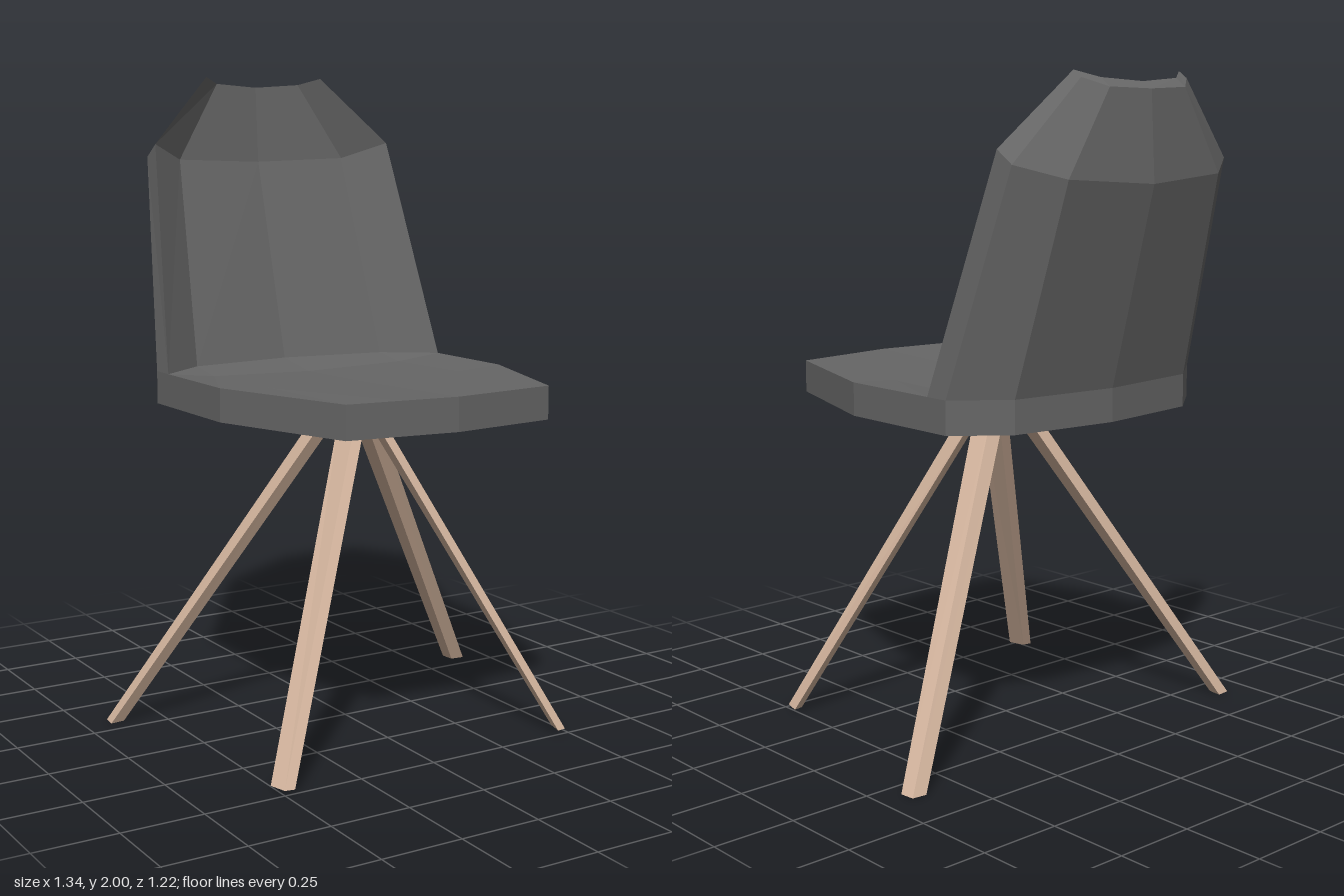
import * as THREE from 'three';

const shellMaterial = new THREE.MeshStandardMaterial({ color: 0x666666 });
shellMaterial.name = 'charcoal';
const woodMaterial = new THREE.MeshStandardMaterial({ color: 0xd4b59e });
woodMaterial.name = 'pale wood';

// Collects faceted quads; collapsed triangles are skipped
function facets() {
  const positions = [];
  const same = (a, b) => a.every((v, i) => v === b[i]);
  const tri = (a, b, c) => {
    if (!same(a, b) && !same(b, c) && !same(a, c)) positions.push(...a, ...b, ...c);
  };
  return {
    quad(a, b, c, d, flip = false) {
      if (flip) [b, d] = [d, b];
      tri(a, b, c);
      tri(a, c, d);
    },
    mesh(name, material) {
      const geometry = new THREE.BufferGeometry();
      geometry.setAttribute('position', new THREE.Float32BufferAttribute(positions, 3));
      geometry.computeVertexNormals();
      const mesh = new THREE.Mesh(geometry, material);
      mesh.name = name;
      return mesh;
    },
  };
}

// Half section [edge, middle, centre] mirrored to five points from -x to +x
const mirrorRow = ([edge, mid, centre]) => {
  const flip = ([x, y, z]) => [-x, y, z];
  return [flip(edge), flip(mid), centre, mid, edge];
};

// Seat and backrest: one thick folded shell, swept from the seat front to the crown
function createShell() {
  const seam = [[0.495, 1.1, -0.22], [0.34, 1.1, -0.335], [0, 1.1, -0.38]];
  const inner = [
    [[0.345, 1.1, 0.57], [0.17, 1.1, 0.59], [0, 1.1, 0.61]],
    [[0.495, 1.1, 0.12], [0.34, 1.09, 0.12], [0, 1.082, 0.12]],
    [[0.495, 1.1, -0.22], [0.34, 1.083, -0.22], [0, 1.075, -0.22]],
    seam,
    seam,
    [[0.425, 1.79, -0.435], [0.3, 1.74, -0.52], [0, 1.73, -0.55]],
    [[0.21, 2, -0.505], [0.15, 1.98, -0.55], [0, 1.97, -0.565]],
  ].map(mirrorRow);
  const outer = [
    [[0.345, 1, 0.57], [0.17, 1, 0.59], [0, 1, 0.61]],
    [[0.495, 1, 0.12], [0.34, 0.99, 0.12], [0, 0.982, 0.12]],
    [[0.495, 1, -0.22], [0.34, 0.983, -0.22], [0, 0.975, -0.22]],
    [[0.495, 1, -0.3], [0.345, 1, -0.42], [0, 1, -0.46]],
    [[0.495, 1.1, -0.3], [0.345, 1.1, -0.42], [0, 1.1, -0.46]],
    [[0.425, 1.75, -0.495], [0.3, 1.71, -0.583], [0, 1.69, -0.613]],
    [[0.21, 1.98, -0.535], [0.15, 1.955, -0.585], [0, 1.95, -0.598]],
  ].map(mirrorRow);

  const f = facets();
  const last = inner.length - 1;
  for (let i = 0; i < last; i++) {
    // Upper and lower skins
    for (let c = 0; c < 4; c++) {
      f.quad(inner[i][c], inner[i][c + 1], inner[i + 1][c + 1], inner[i + 1][c]);
      f.quad(outer[i][c], outer[i][c + 1], outer[i + 1][c + 1], outer[i + 1][c], true);
    }
    // Side edges
    for (const c of [0, 4]) {
      f.quad(inner[i][c], outer[i][c], outer[i + 1][c], inner[i + 1][c], c === 0);
    }
  }
  // Front edge of the seat and top edge of the backrest
  for (let c = 0; c < 4; c++) {
    f.quad(outer[0][c], outer[0][c + 1], inner[0][c + 1], inner[0][c]);
    f.quad(inner[last][c], inner[last][c + 1], outer[last][c + 1], outer[last][c]);
  }
  return f.mesh('seatShell', shellMaterial);
}

// Tapered leg between two level four-sided sections of [x, z] corners
function createLeg(name, foot, top, footY, side) {
  const place = (section, y) => section.map(([x, z]) => [x * side, y, z]);
  const lower = place(foot, footY);
  const upper = place(top, 1);
  const mirrored = side < 0;
  const f = facets();
  for (let k = 0; k < 4; k++) {
    const n = (k + 1) % 4;
    f.quad(lower[k], lower[n], upper[n], upper[k], mirrored);
  }
  f.quad(...upper, mirrored);
  f.quad(...lower, !mirrored);
  return f.mesh(name, woodMaterial);
}

export function createModel() {
  const chair = new THREE.Group();
  chair.name = 'chair';
  chair.add(createShell());

  // Splayed legs, mirrored left and right
  const frontFoot = [[0.48, 0.44], [0.465, 0.495], [0.495, 0.49], [0.51, 0.435]];
  const frontTop = [[0.013, 0.055], [0, 0.13], [0.033, 0.125], [0.046, 0.05]];
  const backFoot = [[0.67, -0.305], [0.665, -0.35], [0.62, -0.355], [0.625, -0.31]];
  const backTop = [[0.075, 0.05], [0.07, -0.02], [0.02, -0.025], [0.025, 0.045]];
  for (const [label, side] of [['Left', 1], ['Right', -1]]) {
    chair.add(createLeg(`front${label}Leg`, frontFoot, frontTop, 0.01, side));
    chair.add(createLeg(`back${label}Leg`, backFoot, backTop, 0, side));
  }
  return chair;
}
